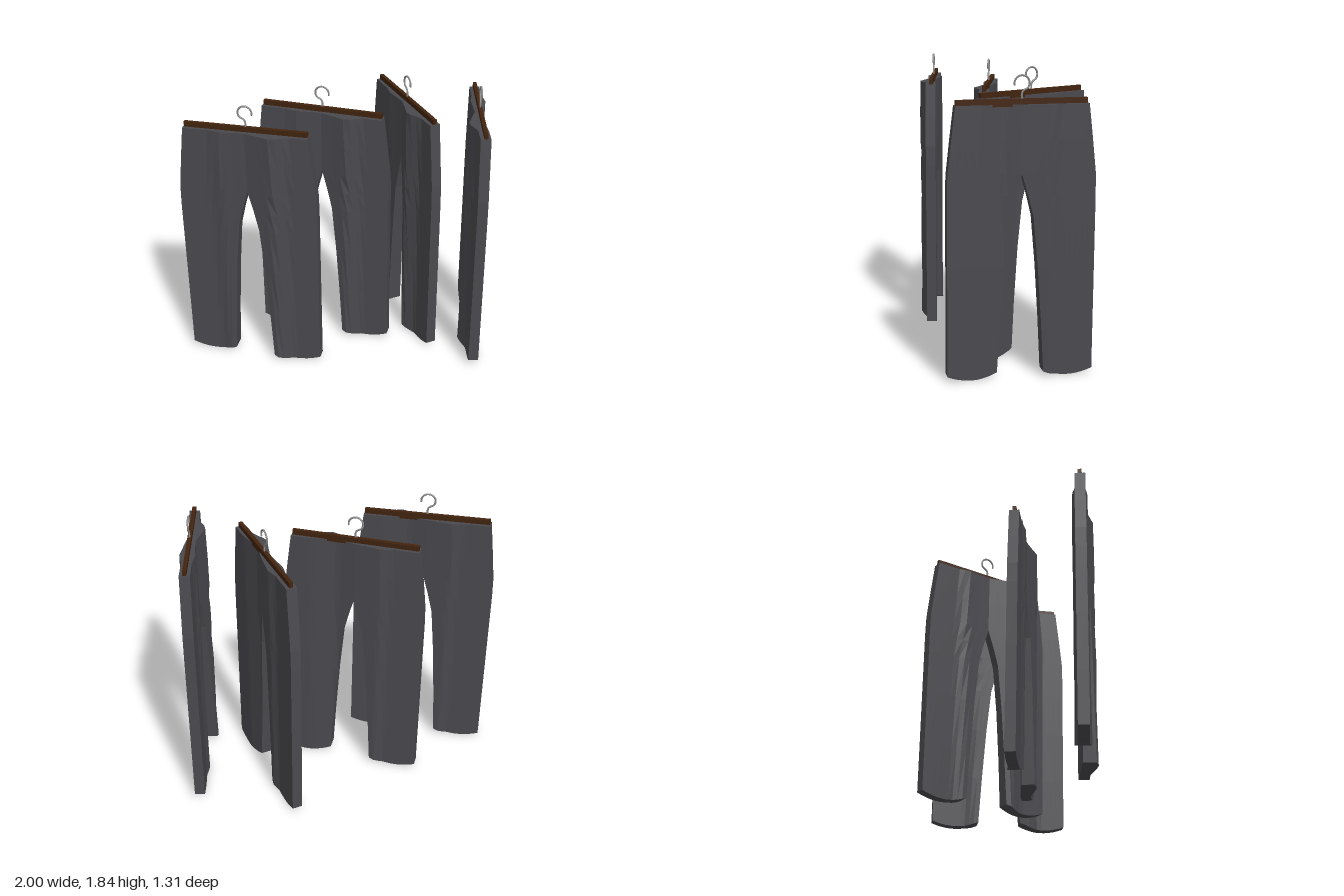
import * as THREE from 'three';

const cloth = new THREE.MeshStandardMaterial({ color: 0x4a494e });
cloth.name = 'charcoal cloth';
const wood = new THREE.MeshStandardMaterial({ color: 0x42240f });
wood.name = 'dark wood';
const steel = new THREE.MeshStandardMaterial({ color: 0x8c8c8c });
steel.name = 'steel';

// Fold profile across the width: [position, centre offset, half thickness]
const FOLDS = [
  [-0.45, 0, 0.033], [-0.27, -0.005, 0.033], [-0.175, -0.038, 0.05],
  [-0.11, -0.033, 0.033], [0, -0.004, 0.03], [0.1, 0, 0.04],
  [0.175, 0.002, 0.05], [0.23, 0, 0.032], [0.45, 0, 0.033],
];

// Leg outline: [height, inner edge, outer edge]
const ROWS = [
  [0, 0.14, 0.45], [0.35, 0.122, 0.45], [0.7, 0.098, 0.45], [1.0, 0.07, 0.45],
  [1.13, 0.038, 0.45], [1.26, 0, 0.447], [1.46, 0, 0.425], [1.67, 0, 0.4],
];

function foldAt(u) {
  let i = 0;
  while (i < FOLDS.length - 2 && u > FOLDS[i + 1][0]) i++;
  const a = FOLDS[i], b = FOLDS[i + 1];
  const k = THREE.MathUtils.clamp((u - a[0]) / (b[0] - a[0]), 0, 1);
  return [a[1] + (b[1] - a[1]) * k, a[2] + (b[2] - a[2]) * k];
}

// One leg with its half of the seat; side is +1 or -1
function legGeometry(side) {
  const n = 11, ring = 2 * n, pos = [], index = [];
  ROWS.forEach(([y, inner, outer], r) => {
    for (let j = 0; j < ring; j++) {
      const front = j < n;
      const t = (front ? j : ring - 1 - j) / (n - 1);
      const u = side * (inner + (outer - inner) * t);
      const [c, h] = foldAt(u);
      const hem = r === 0 ? 0.032 * (2 * t - 1) ** 2 : 0;
      pos.push(u, y + hem, c + (front ? h : -h));
    }
  });
  const quad = (a, b, c, d) => {
    if (side > 0) index.push(a, b, c, a, c, d);
    else index.push(a, c, b, a, d, c);
  };
  const last = (ROWS.length - 1) * ring;
  for (let r = 0; r < ROWS.length - 1; r++) {
    for (let j = 0; j < ring; j++) {
      const k = (j + 1) % ring, o = r * ring;
      quad(o + j, o + k, o + ring + k, o + ring + j);
    }
  }
  // Hem and waist caps
  for (let j = 0; j < n - 1; j++) {
    const b = ring - 1 - j;
    quad(b, b - 1, j + 1, j);
    quad(last + j, last + j + 1, last + b - 1, last + b);
  }
  const g = new THREE.BufferGeometry();
  g.setAttribute('position', new THREE.Float32BufferAttribute(pos, 3));
  g.setIndex(index);
  const flat = g.toNonIndexed();
  flat.computeVertexNormals();
  return flat;
}

// Question-mark hook: stem, then an arc open on the -x side
function hookGeometry() {
  const pts = [[0, 1.69], [0, 1.735], [0.012, 1.752]];
  for (let a = -40; a <= 190; a += 23) {
    const r = THREE.MathUtils.degToRad(a);
    pts.push([0.045 * Math.cos(r), 1.793 + 0.045 * Math.sin(r)]);
  }
  const curve = new THREE.CatmullRomCurve3(pts.map(([x, y]) => new THREE.Vector3(x, y, 0)));
  return new THREE.TubeGeometry(curve, 36, 0.006, 8);
}

export function createModel() {
  const model = new THREE.Group();
  model.name = 'hangingTrousers';
  const left = legGeometry(1), right = legGeometry(-1);
  const bar = new THREE.BoxGeometry(0.79, 0.045, 0.024);
  const hook = hookGeometry();
  const tip = new THREE.SphereGeometry(0.006, 8, 6);

  // [x, z, turn] of each pair
  const places = [
    [-0.66, -0.30, 2.363], [-0.11, -0.30, 2.292],
    [0.435, -0.14, 1.42], [0.73, 0.25, 1.007],
  ];
  places.forEach(([x, z, turn], i) => {
    const pair = new THREE.Group();
    pair.name = 'trousers' + (i + 1);
    const add = (name, geometry, material) => {
      const m = new THREE.Mesh(geometry, material);
      m.name = name;
      pair.add(m);
      return m;
    };
    add('leftLeg', left, cloth);
    add('rightLeg', right, cloth);
    add('hangerBar', bar, wood).position.y = 1.68;
    add('hangerHook', hook, steel);
    const end = THREE.MathUtils.degToRad(190);
    add('hookTip', tip, steel).position.set(0.045 * Math.cos(end), 1.793 + 0.045 * Math.sin(end), 0);
    pair.position.set(x, 0, z);
    pair.rotation.y = turn;
    model.add(pair);
  });
  return model;
}
